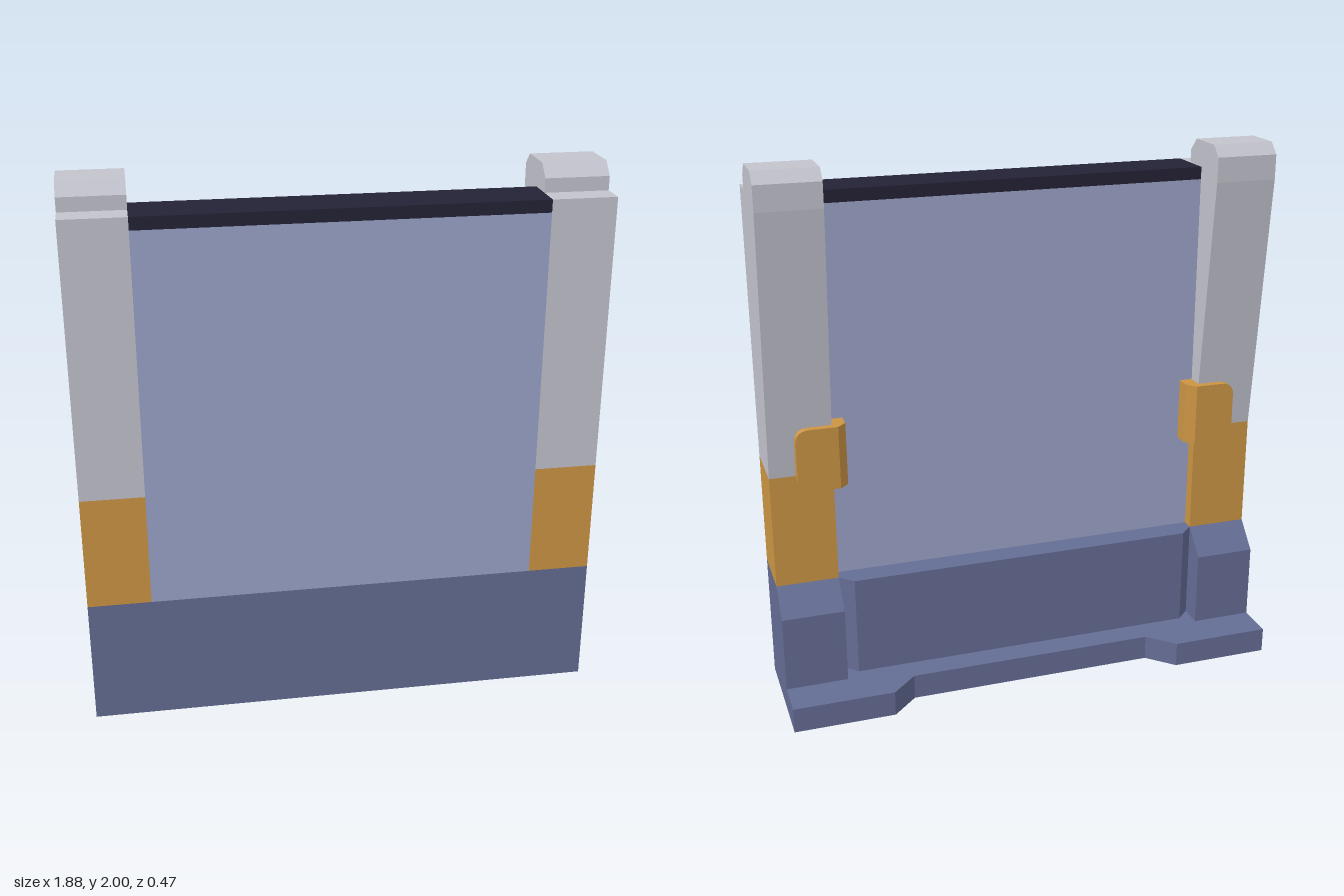
import * as THREE from 'three';

const mat = (name, color) => {
  const m = new THREE.MeshStandardMaterial({ color });
  m.name = name;
  return m;
};

const shapeOf = (pts) => new THREE.Shape(pts.map(([x, y]) => new THREE.Vector2(x, y)));
const extrude = (shape, depth) =>
  new THREE.ExtrudeGeometry(shape, { depth, bevelEnabled: false, curveSegments: 6 });

// side profile of [z, y] points, swept from x0 to x1
const sweepX = (pts, x0, x1) =>
  extrude(shapeOf(pts), x1 - x0).rotateY(-Math.PI / 2).translate(x1, 0, 0);

// floor plan of [x, z] points, raised from y0 to y1
const raiseY = (pts, y0, y1) =>
  extrude(shapeOf(pts.map(([x, z]) => [x, -z])), y1 - y0).rotateX(-Math.PI / 2).translate(0, y0, 0);

const box = (x0, x1, y0, y1, z0, z1) =>
  new THREE.BoxGeometry(x1 - x0, y1 - y0, z1 - z0)
    .translate((x0 + x1) / 2, (y0 + y1) / 2, (z0 + z1) / 2);

export function createModel() {
  const model = new THREE.Group();
  model.name = 'framedPanel';

  const blue = mat('slate blue', 0x646d94);
  const paleBlue = mat('pale blue', 0x9ca4ca);
  const grey = mat('light grey', 0xc3c3cd);
  const orange = mat('orange', 0xcc9544);
  const dark = mat('dark navy', 0x242236);

  const add = (parent, name, geometry, material) => {
    const mesh = new THREE.Mesh(geometry, material);
    mesh.name = name;
    parent.add(mesh);
  };

  const F = 0.235, IN = 0.71, OUT = 0.94;   // front plane, post inner and outer sides
  const BASE = 0.475, FOOT = 0.095, BAND = 0.9;

  // Foot slab with a recessed rear edge
  add(model, 'foot', raiseY([
    [-OUT, F], [OUT, F], [OUT, -F], [0.565, -F], [0.47, -0.145],
    [-0.47, -0.145], [-0.565, -F], [-OUT, -F],
  ], 0, FOOT), blue);

  // Sill under the panel, its rear corners cut off
  add(model, 'sill', raiseY([
    [-IN, F], [IN, F], [IN, 0], [0.66, -0.048], [-0.66, -0.048], [-IN, 0],
  ], FOOT, BASE), blue);

  // Panel and its top cap
  add(model, 'panel', box(-IN, IN, BASE, 1.86, 0.045, F), paleBlue);
  add(model, 'panelCap', box(-IN, IN, 1.86, 1.905, 0.045, F), dark);

  // The two posts with their clips
  for (const side of [1, -1]) {
    const post = new THREE.Group();
    post.name = side > 0 ? 'leftPost' : 'rightPost';
    const x0 = side > 0 ? IN : -OUT, x1 = x0 + OUT - IN;

    add(post, 'postBase', sweepX([
      [F, FOOT], [F, BASE], [0, BASE], [-0.09, 0.38], [-0.09, FOOT],
    ], x0, x1), blue);
    add(post, 'postBand', box(x0, x1, BASE, BAND, 0, F), orange);
    add(post, 'postTop', sweepX([
      [F, BAND], [F, 1.905], [0.14, 1.905], [0.14, 1.955], [0.095, 2],
      [-0.05, 2], [-0.09, 1.96], [-0.09, 1.87], [0, BAND],
    ], x0, x1), grey);

    // Clip: cheek around the inner corner, then a rear plate with rounded outer corners
    add(post, 'clipCheek', raiseY([
      [IN, 0.045], [0.66, 0.045], [0.66, -0.012], [0.692, -0.045], [IN, -0.045],
    ].map(([x, z]) => [side * x, z]), 0.85, 1.085), orange);

    const r = 0.05, end = 0.845, lo = 0.85, hi = 1.085;
    const plate = new THREE.Shape();
    plate.moveTo(side * IN, lo);
    plate.lineTo(side * (end - r), lo);
    plate.quadraticCurveTo(side * end, lo, side * end, lo + r);
    plate.lineTo(side * end, hi - r);
    plate.quadraticCurveTo(side * end, hi, side * (end - r), hi);
    plate.lineTo(side * IN, hi);
    add(post, 'clipPlate', extrude(plate, 0.05).translate(0, 0, -0.045), orange);

    model.add(post);
  }
  return model;
}
